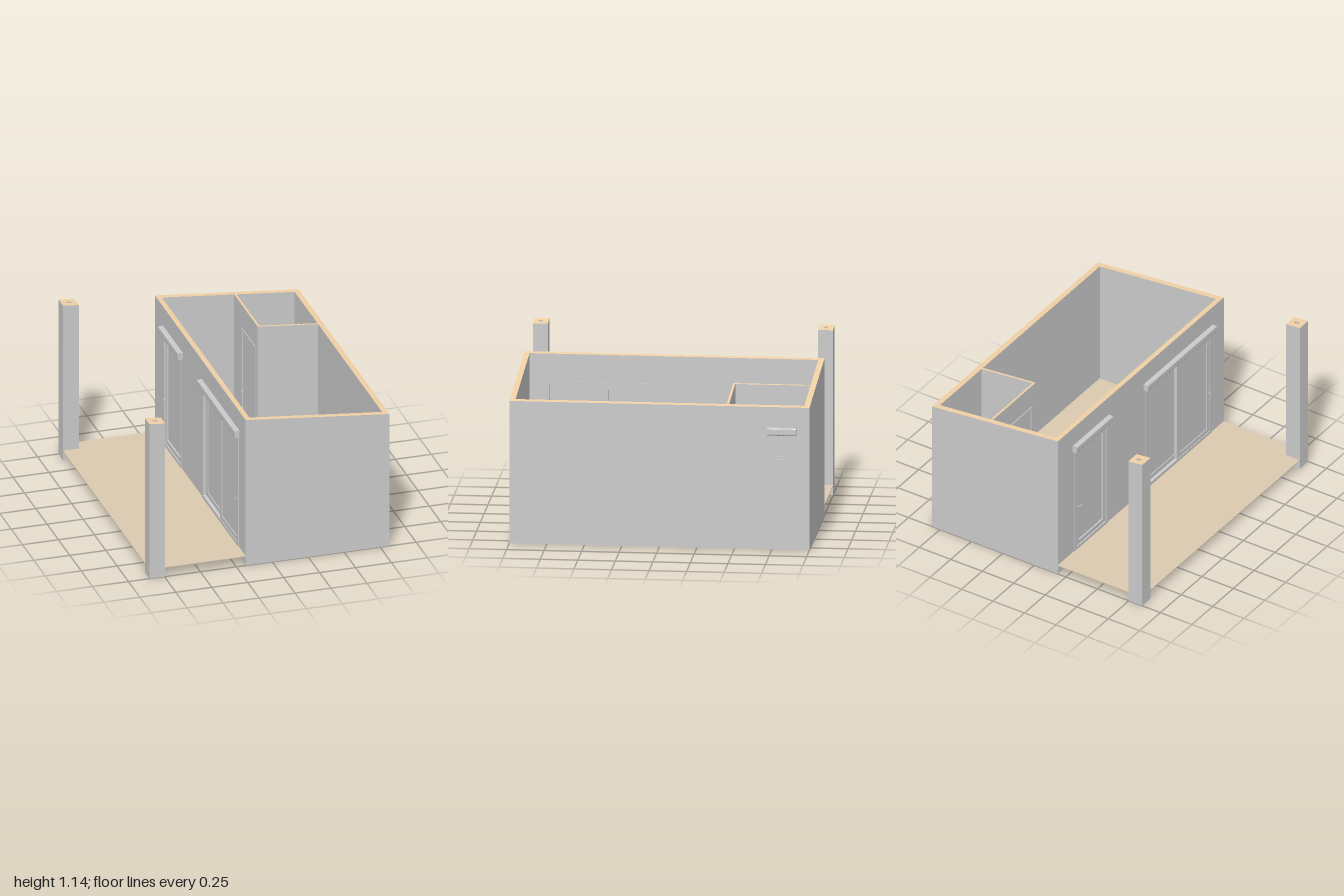
import * as THREE from 'three';
import { RoundedBoxGeometry } from 'three/addons/geometries/RoundedBoxGeometry.js';

const mat = (color) => new THREE.MeshStandardMaterial({ color });
const grey = mat(0xcccccc), cut = mat(0xf2d2a6), deck = mat(0xdccab0);

const FLOOR = 0.07;
const roof = (x) => 1.07 - 0.1 * (x + 0.185); // sloping cut line of all walls

function createModel() {
  const model = new THREE.Group();
  const group = (name, parent = model) => {
    const g = new THREE.Group();
    g.name = name;
    parent.add(g);
    return g;
  };
  const add = (name, geo, parent = model, material = grey) => {
    const m = new THREE.Mesh(geo, material);
    m.name = name;
    parent.add(m);
    return m;
  };
  const box = (name, x0, x1, y0, y1, z0, z1, parent, material) =>
    add(name, new THREE.BoxGeometry(x1 - x0, y1 - y0, z1 - z0)
      .translate((x0 + x1) / 2, (y0 + y1) / 2, (z0 + z1) / 2), parent, material);

  const rect = (Type, a0, a1, b0, b1) => new Type([[a0, b0], [a1, b0], [a1, b1], [a0, b1]]
    .map(([a, b]) => new THREE.Vector2(a, b)));
  // Rectangle with rectangular holes, extruded
  const plate = (outer, holes, depth) => {
    const s = rect(THREE.Shape, ...outer);
    holes.forEach((h) => s.holes.push(rect(THREE.Path, ...h)));
    return new THREE.ExtrudeGeometry(s, { depth, bevelEnabled: false });
  };
  // Same, drawn in (z, y) and reaching from x0 to x1
  const sidePlate = (x0, x1, outer, holes) =>
    plate(outer, holes, x1 - x0).rotateY(-Math.PI / 2).translate(x1, 0, 0);

  // Lift the top to the roof line and colour the cut ends
  const toRoof = (name, geo, parent) => {
    const p = geo.attributes.position;
    for (let i = 0; i < p.count; i++) if (p.getY(i) > 0.99) p.setY(i, roof(p.getX(i)));
    geo.computeVertexNormals();
    geo.clearGroups();
    for (let i = 0; i < p.count; i += 3) {
      const y = [0, 1, 2].map((k) => p.getY(i + k));
      const end = Math.min(...y) > 0.9 || Math.max(...y) < 0.001;
      geo.addGroup(i, 3, end ? 1 : 0);
    }
    return add(name, geo, parent, [grey, cut]);
  };

  // Openings: z0, z1, y0, y1
  const door = [-0.8, -0.4, FLOOR, 0.88];
  const slider = [0.05, 0.85, FLOOR, 0.88];
  const windowHole = [-0.895, -0.735, 0.59, 0.785];
  const bathDoor = [-0.785, -0.49, FLOOR + 0.002, 0.85];

  // Outer walls
  const walls = group('walls');
  for (const [name, z] of [['backWall', -1], ['frontWall', 0.962]])
    toRoof(name, plate([-0.185, 0.815, 0, 1], [], 0.038).translate(0, 0, z), walls);
  toRoof('terraceWall', sidePlate(-0.185, -0.148, [-0.962, 0.962, 0, 1], [door, slider]), walls);
  toRoof('windowWall', sidePlate(0.775, 0.815, [-0.962, 0.962, 0, 1], [windowHole]), walls);

  // Bathroom partitions
  toRoof('bathroomSideWall', sidePlate(0.355, 0.371, [-0.962, -0.445, 0.04, 1], [bathDoor]), walls);
  toRoof('bathroomFrontWall',
    plate([0.371, 0.775, 0.04, 1], [], 0.016).translate(0, 0, -0.461), walls);

  // Floors
  box('floor', -0.148, 0.775, 0.03, FLOOR, -0.962, 0.962, model,
    [grey, grey, deck, grey, grey, grey]);
  box('terrace', -0.855, -0.185, FLOOR - 0.006, FLOOR, -1, 1, model, deck);

  // Hollow terrace posts
  for (const z of [-0.95, 0.95])
    toRoof('post', plate([-0.855, -0.745, -0.05, 0.05], [[-0.816, -0.784, -0.011, 0.011]], 1)
      .rotateX(-Math.PI / 2).translate(0, 0, z));

  // Ring frame and recessed panel that fill an opening
  const inset = ([a, b, c, d], w) => [a + w, b - w, c + w, d - w];
  const frame = (name, o, w, x0, x1, parent) =>
    add(name, sidePlate(x0, x1, o, [inset(o, w)]), parent);
  const leaf = (o, w, x0, x1, parent) => {
    frame('leafFrame', o, w, x0, x1, parent);
    const [z0, z1, y0, y1] = inset(o, w);
    const t = (x1 - x0) * 0.35;
    box('panel', x0 + t, x1 - t, y0, y1, z0, z1, parent);
  };

  const doorUnit = group('entranceDoor');
  frame('doorFrame', door, 0.022, -0.19, -0.143, doorUnit);
  leaf(inset(door, 0.022), 0.03, -0.182, -0.151, doorUnit);

  const slidingUnit = group('slidingDoor');
  frame('doorFrame', slider, 0.022, -0.19, -0.143, slidingUnit);
  const [s0, s1, t0, t1] = inset(slider, 0.022);
  leaf([s0, 0.465, t0, t1], 0.03, -0.167, -0.149, slidingUnit);
  leaf([0.435, s1, t0, t1], 0.03, -0.185, -0.167, slidingUnit);

  const windowUnit = group('window');
  frame('windowFrame', windowHole, 0.022, 0.77, 0.821, windowUnit);
  leaf(inset(windowHole, 0.022), 0.022, 0.78, 0.814, windowUnit);

  const bathUnit = group('bathroomDoor');
  frame('doorFrame', bathDoor, 0.018, 0.349, 0.378, bathUnit);
  const [b0, b1, c0, c1] = inset(bathDoor, 0.018);
  box('panel', 0.354, 0.372, c0, c1, b0, b1, bathUnit);

  // Lever handles on both faces
  const handle = (x, side, z, length, parent) => {
    const g = group('handle', parent);
    const out = x + side * 0.018;
    add('plate', new THREE.BoxGeometry(0.003, 0.05, 0.012).translate(x, 0.4, z), g);
    add('stem', new THREE.CylinderGeometry(0.003, 0.003, 0.02, 10)
      .rotateZ(Math.PI / 2).translate(x + side * 0.009, 0.41, z), g);
    add('lever', new THREE.BoxGeometry(0.005, length ? 0.006 : 0.04, length || 0.006)
      .translate(out, 0.41, z + length / 2), g);
  };
  for (const [x, s] of [[-0.183, -1], [-0.15, 1]]) handle(x, s, -0.765, 0.035, doorUnit);
  for (const [x, s] of [[0.353, -1], [0.373, 1]]) handle(x, s, -0.745, 0.035, bathUnit);
  for (const [x, s] of [[-0.185, -1], [-0.149, 1]]) handle(x, s, 0.813, 0, slidingUnit);

  // Roller shutter boxes with a rounded lower outer edge
  const shutter = (x, side, y, z0, z1, h, d) => {
    const s = new THREE.Shape();
    s.moveTo(0, 0);
    s.lineTo(d - 0.014, 0);
    s.quadraticCurveTo(d, 0, d, 0.014);
    s.lineTo(d, h - 0.004);
    s.lineTo(d - 0.004, h);
    s.lineTo(0, h);
    const geo = new THREE.ExtrudeGeometry(s, { depth: z1 - z0, bevelEnabled: false, curveSegments: 6 });
    if (side < 0) geo.rotateY(Math.PI).translate(0, 0, z1 - z0);
    add('shutterBox', geo.translate(x, y, z0));
  };
  shutter(-0.185, -1, 0.88, -0.82, -0.385, 0.05, 0.035);
  shutter(-0.185, -1, 0.88, 0.035, 0.865, 0.05, 0.035);
  shutter(0.815, 1, 0.78, -0.912, -0.72, 0.05, 0.031);

  // Toilet
  const toilet = group('toilet');
  toilet.position.set(0.615, FLOOR, -0.82);
  const oval = (r, back, y, h) => {
    const s = new THREE.Shape();
    s.moveTo(back, r);
    s.lineTo(0, r);
    s.absarc(0, 0, r, Math.PI / 2, Math.PI * 1.5, false);
    s.lineTo(back, -r);
    return new THREE.ExtrudeGeometry(s, { depth: h, bevelEnabled: false, curveSegments: 20 })
      .rotateX(-Math.PI / 2).translate(0, y, 0);
  };
  const bowl = oval(0.058, 0.13, 0, 0.145);
  const bp = bowl.attributes.position;
  for (let i = 0; i < bp.count; i++) if (bp.getY(i) < 0.01) {
    bp.setX(i, 0.05 + bp.getX(i) * 0.6);
    bp.setZ(i, bp.getZ(i) * 0.6);
  }
  bowl.computeVertexNormals();
  add('bowl', bowl, toilet);
  add('seat', oval(0.06, 0.08, 0.147, 0.007), toilet);
  add('lid', oval(0.057, 0.08, 0.156, 0.008), toilet);
  add('cistern', new RoundedBoxGeometry(0.062, 0.15, 0.125, 3, 0.008).translate(0.128, 0.22, 0), toilet);
  add('cisternLid', new RoundedBoxGeometry(0.066, 0.012, 0.131, 2, 0.004).translate(0.126, 0.3, 0), toilet);
  add('flushButton', new THREE.CylinderGeometry(0.01, 0.01, 0.006, 16).translate(0.126, 0.308, 0), toilet);

  // Wash basin on a pedestal
  const basin = group('washBasin');
  basin.position.set(0.718, FLOOR, -0.605);
  const profile = [[0, 0.255], [0.03, 0.258], [0.055, 0.285], [0.068, 0.325], [0.072, 0.33],
    [0.066, 0.33], [0.056, 0.322], [0.045, 0.295], [0.025, 0.28], [0, 0.278]]
    .map(([r, y]) => new THREE.Vector2(r, y));
  add('bowl', new THREE.LatheGeometry(profile, 32), basin);
  add('pedestal', new THREE.CylinderGeometry(0.024, 0.032, 0.26, 20).translate(0.02, 0.13, 0), basin);
  add('drain', new THREE.CylinderGeometry(0.008, 0.008, 0.004, 16).translate(0, 0.28, 0), basin);
  add('tapLedge', new RoundedBoxGeometry(0.026, 0.03, 0.1, 2, 0.006).translate(0.044, 0.318, 0), basin);
  const spout = new THREE.CatmullRomCurve3([[0.044, 0.33, 0], [0.042, 0.36, 0], [0.025, 0.37, 0], [0.006, 0.355, 0]]
    .map((p) => new THREE.Vector3(...p)));
  add('tap', new THREE.TubeGeometry(spout, 14, 0.005, 10), basin);

  return model;
}

export { createModel };
